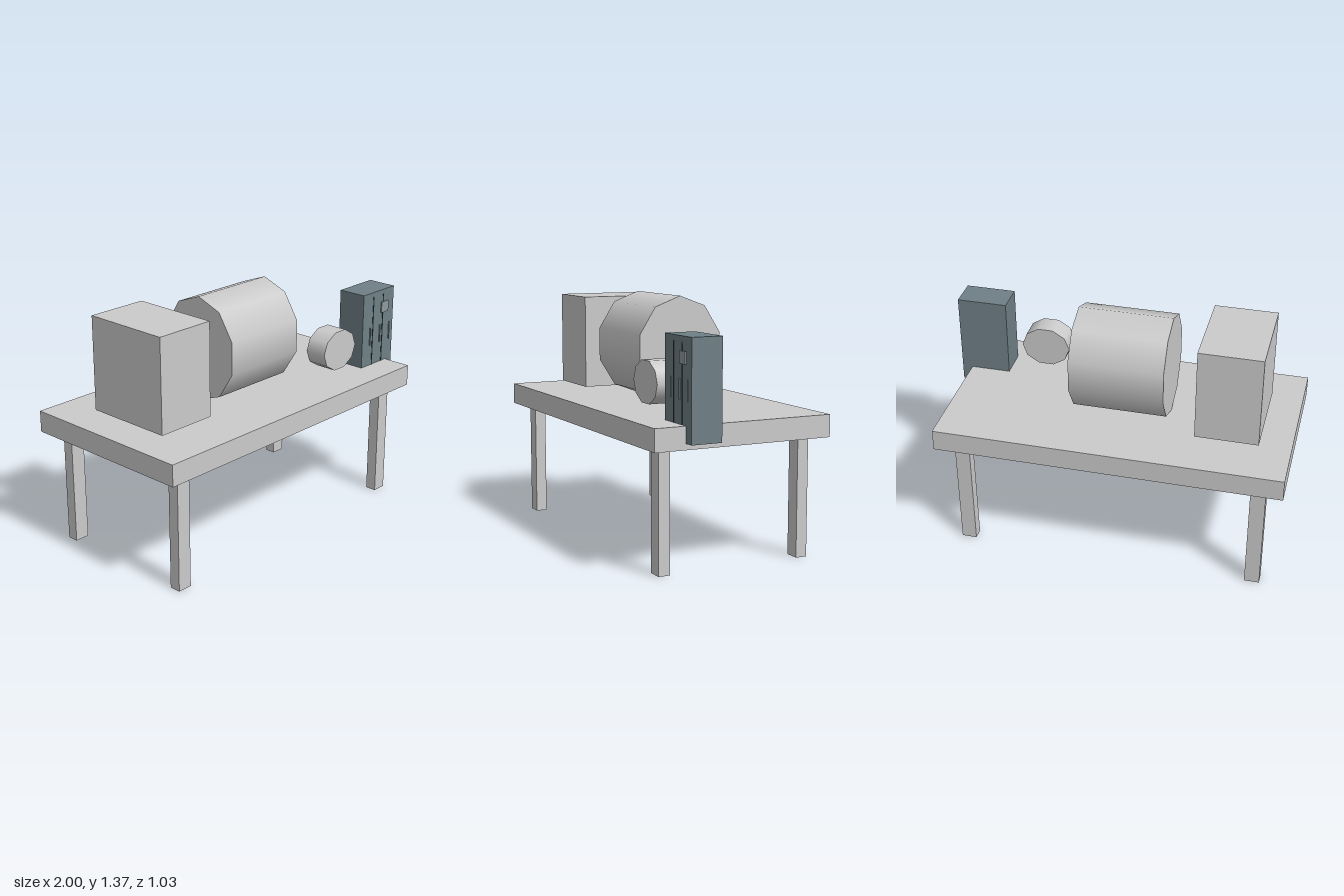
import * as THREE from 'three';

const grey = new THREE.MeshStandardMaterial({ color: 0xcccccc });
const steel = new THREE.MeshStandardMaterial({ color: 0x6f8086 });
const dark = new THREE.MeshStandardMaterial({ color: 0x2b373b });
const pale = new THREE.MeshStandardMaterial({ color: 0x8f9a9e });

// Box given by its extents along each axis
function box(name, [x0, x1], [y0, y1], [z0, z1], material = grey) {
  const mesh = new THREE.Mesh(new THREE.BoxGeometry(x1 - x0, y1 - y0, z1 - z0), material);
  mesh.position.set((x0 + x1) / 2, (y0 + y1) / 2, (z0 + z1) / 2);
  mesh.name = name;
  return mesh;
}

// Unit ten-sided cylinder with a corner on its +x side, axis along y
const decagon = () => new THREE.CylinderGeometry(1, 1, 1, 10, 1, false, Math.PI / 2);

export function createModel() {
  const model = new THREE.Group();
  model.name = 'workbench';

  // Table top and four legs
  model.add(box('tableTop', [-1, 0.942], [0.657, 0.778], [-0.513, 0.513]));
  for (const x of [-0.86, 0.803]) {
    for (const z of [-0.411, 0.411]) {
      model.add(box('leg', [x - 0.042, x + 0.042], [0, 0.657], [z - 0.032, z + 0.032]));
    }
  }

  // Large crate
  model.add(box('crate', [-0.824, -0.471], [0.803, 1.334], [-0.257, 0.257]));

  // Drum lying along x, slightly oval
  const drum = new THREE.Mesh(decagon().rotateZ(Math.PI / 2).scale(0.528, 0.297, 0.259), grey);
  drum.position.set(-0.029, 1.075, 0);
  drum.name = 'drum';
  model.add(drum);

  // Small round disc facing forward
  const disc = new THREE.Mesh(decagon().rotateX(Math.PI / 2).scale(0.14, 0.119, 0.129), grey);
  disc.position.set(0.5, 0.948, 0.281);
  disc.name = 'disc';
  model.add(disc);

  // Steel locker with door seams, handles and a blank plate
  const locker = new THREE.Group();
  locker.name = 'locker';
  locker.add(box('lockerBody', [0.715, 1], [0.69, 1.221], [0.168, 0.341], steel));
  for (const x of [0.81, 0.901]) {
    locker.add(box('doorSeam', [x - 0.004, x + 0.004], [0.716, 1.193], [0.338, 0.343], dark));
  }
  for (const x of [0.784, 0.875, 0.965]) {
    locker.add(box('handle', [x - 0.003, x + 0.003], [0.903, 1.01], [0.34, 0.347], pale));
  }
  locker.add(box('plate', [0.88, 0.945], [1.083, 1.147], [0.34, 0.348], pale));
  model.add(locker);

  return model;
}
